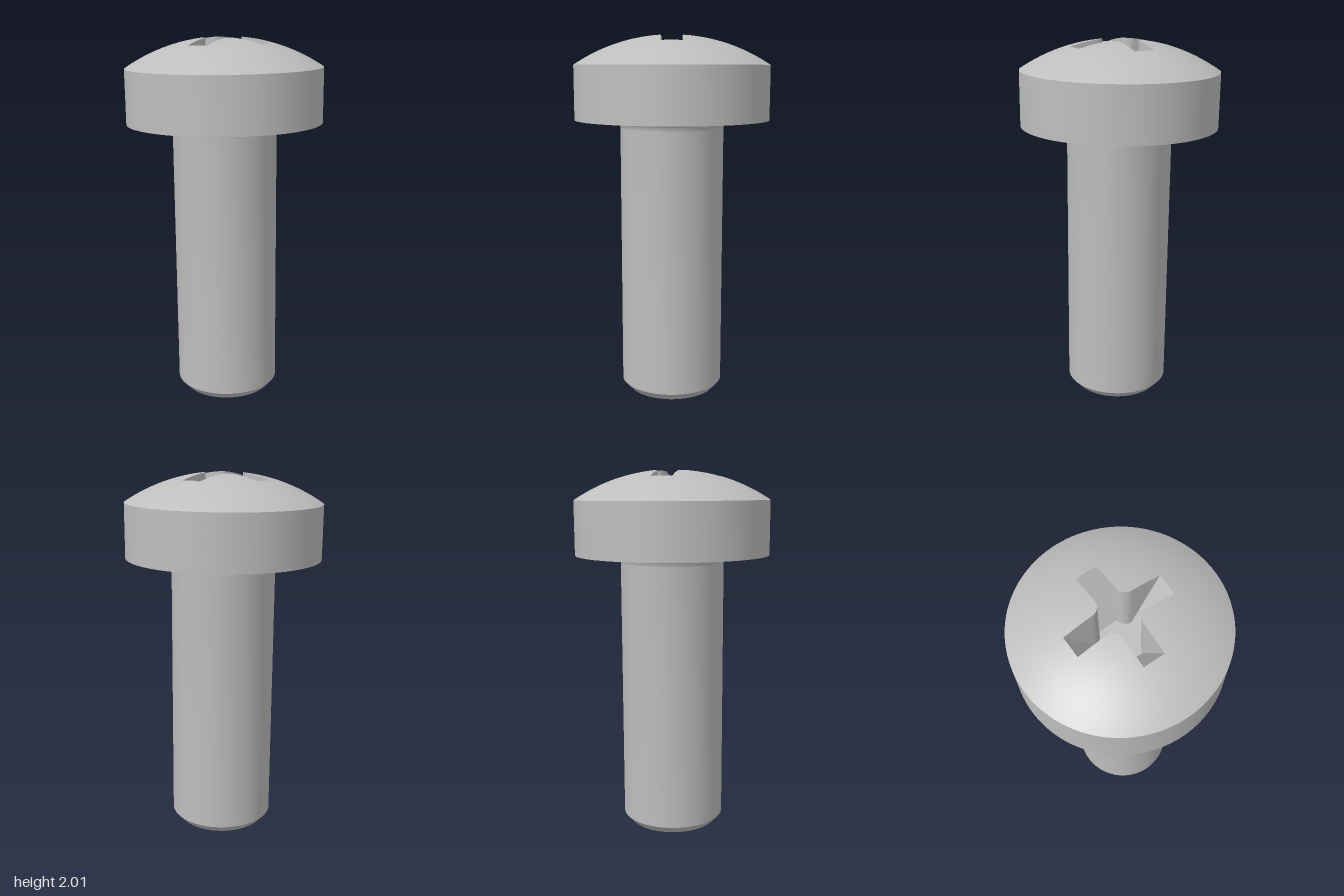
import * as THREE from 'three';
import { toCreasedNormals } from 'three/addons/utils/BufferGeometryUtils.js';

const HEAD_R = 0.537, RIM_Y = 1.845, DOME_H = 0.163, SEAT_Y = 1.548, SHANK_R = 0.286;
// cross recess: arm reach, half width, inner corner fillet, floor half size and height
const REACH = 0.267, HALF = 0.0575, FILLET = 0.05, CORE = 0.1075, FLOOR_Y = 1.66;
const TWIST = THREE.MathUtils.degToRad(14);

// Height of the spherical dome at a distance from the axis
const SPHERE = (HEAD_R ** 2 + DOME_H ** 2) / (2 * DOME_H);
const domeY = (r) => RIM_Y + DOME_H - SPHERE + Math.sqrt(SPHERE ** 2 - r * r);

// Recess outline as polar points, with floor radius and wall foot height for each
function recessOutline() {
  const endA = Math.atan2(HALF, REACH), coreA = Math.atan2(HALF, CORE);
  const eighth = [];
  for (let i = 0; i < 4; i++) eighth.push(endA * i / 4);
  for (let i = 0; i < 4; i++) eighth.push(endA + (coreA - endA) * i / 4);
  for (let i = 0; i < 6; i++) eighth.push(coreA + (Math.PI / 4 - coreA) * i / 6);
  const quarter = [...eighth, Math.PI / 4, ...eighth.slice(1).reverse().map((a) => Math.PI / 2 - a)];
  const endY = domeY(Math.hypot(REACH, HALF));
  const out = [];
  for (let q = 0; q < 4; q++) {
    for (const a of quarter) {
      const b = Math.min(a, Math.PI / 2 - a);
      let r;
      if (b <= endA) r = REACH / Math.cos(b);
      else if (b <= coreA) r = HALF / Math.sin(b);
      else {
        const d = CORE * (Math.cos(b) + Math.sin(b));
        r = d - Math.sqrt(Math.max(0, d * d - 2 * CORE * CORE + FILLET * FILLET));
      }
      const u = r * Math.cos(b);
      const k = Math.max(0, (u - CORE) / (REACH - CORE));
      out.push({
        a: a + q * Math.PI / 2 + TWIST, r,
        inner: Math.min(r, CORE / Math.cos(b)),
        foot: FLOOR_Y + (endY - FLOOR_Y) * k,
      });
    }
  }
  return out;
}

// Surface through closed rings ordered from the axis outwards
function ringSurface(outline, rings) {
  const n = outline.length, pos = [], idx = [];
  for (const ring of rings) {
    for (const p of outline) {
      const [r, y] = ring(p);
      pos.push(r * Math.cos(p.a), y, r * Math.sin(p.a));
    }
  }
  for (let j = 0; j < rings.length - 1; j++) {
    for (let i = 0; i < n; i++) {
      const a = j * n + i, b = j * n + (i + 1) % n;
      idx.push(a, b, b + n, a, b + n, a + n);
    }
  }
  const g = new THREE.BufferGeometry();
  g.setAttribute('position', new THREE.Float32BufferAttribute(pos, 3));
  g.setIndex(idx);
  g.computeVertexNormals();
  return g;
}

export function createModel() {
  const steel = new THREE.MeshStandardMaterial({ name: 'steel grey', color: 0xbebebe });
  const model = new THREE.Group();
  model.name = 'screw';
  const add = (name, geometry) => {
    const mesh = new THREE.Mesh(geometry, steel);
    mesh.name = name;
    model.add(mesh);
  };
  const lathe = (pts) =>
    toCreasedNormals(new THREE.LatheGeometry(pts.map(([x, y]) => new THREE.Vector2(x, y)), 96), 0.5);

  // Shank with chamfered tip and a fillet under the head
  const shank = [[0, 0], [0.245, 0], [SHANK_R, 0.045]];
  const f = 0.047;
  for (let i = 0; i <= 8; i++) {
    const t = (i / 8) * Math.PI / 2;
    shank.push([SHANK_R + f * (1 - Math.cos(t)), SEAT_Y - f + f * Math.sin(t)]);
  }
  add('shank', lathe(shank));

  // Head: flat underside and straight side
  add('headSide', lathe([[SHANK_R + f, SEAT_Y], [HEAD_R, SEAT_Y], [HEAD_R, RIM_Y]]));

  // Dome around the cross opening
  const outline = recessOutline();
  const domeRings = [];
  for (let j = 0; j <= 12; j++) {
    domeRings.push((p) => {
      const r = p.r + (HEAD_R - p.r) * j / 12;
      return [r, domeY(r)];
    });
  }
  add('headDome', ringSurface(outline, domeRings));

  // Cross recess: flat floor, sloping arm ends and upright walls
  add('crossRecess', toCreasedNormals(ringSurface(outline, [
    () => [0, FLOOR_Y],
    (p) => [p.inner, FLOOR_Y],
    (p) => [p.r, p.foot],
    (p) => [p.r, domeY(p.r)],
  ]), 0.4));

  // Slight lean of the whole screw
  model.rotation.set(-0.004, 0, 0.0125);
  model.position.set(0.017, 0.003, 0.005);
  const root = new THREE.Group();
  root.name = 'panHeadScrew';
  root.add(model);
  return root;
}
